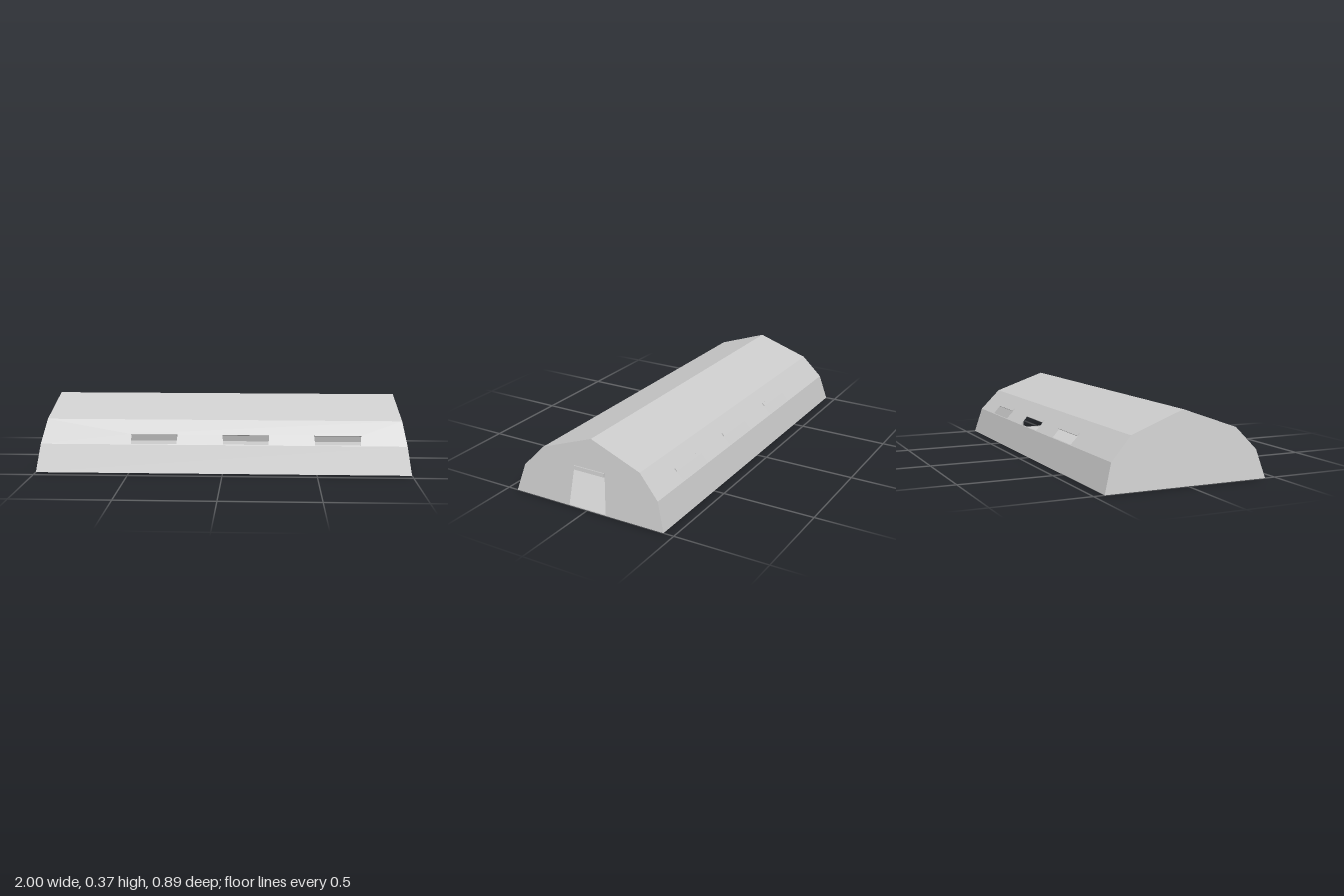
import * as THREE from 'three';

const material = new THREE.MeshStandardMaterial({ color: 0xcccccc, flatShading: true, side: THREE.DoubleSide });

// Half cross-section of the tent: [z, y] from the ground to the ridge
const PROFILE = [[0.443, 0], [0.40, 0.147], [0.29, 0.264], [0, 0.368]];
const halfLength = y => 1 - 0.148 * y; // the ends lean inward
const vectors = pts => pts.map(([x, y]) => new THREE.Vector2(x, y));

// Flat sheet drawn in (across, y), pushed outward by depth(y), then turned to face its side
function sheet(name, outline, holes, depth, turn) {
  const shape = new THREE.Shape(vectors(outline));
  for (const h of holes) shape.holes.push(new THREE.Path(vectors(h)));
  const geo = new THREE.ShapeGeometry(shape);
  const p = geo.attributes.position;
  for (let i = 0; i < p.count; i++) p.setZ(i, depth(p.getY(i)));
  geo.computeVertexNormals();
  const mesh = new THREE.Mesh(geo, material);
  mesh.name = name;
  mesh.rotation.y = turn;
  return mesh;
}

// Thin strip lying on a leaning sheet, closed on its outer faces
function flap(name, width, y0, y1, thickness, depth) {
  const slope = (depth(y1) - depth(y0)) / (y1 - y0);
  const geo = new THREE.BoxGeometry(width, Math.hypot(1, slope) * (y1 - y0), thickness);
  geo.translate(0, 0, thickness / 2);
  geo.rotateX(Math.atan(slope));
  const mesh = new THREE.Mesh(geo, material);
  mesh.name = name;
  mesh.position.set(0, (y0 + y1) / 2, depth((y0 + y1) / 2));
  return mesh;
}

export function createModel() {
  const model = new THREE.Group();
  model.name = 'tent';
  const windowCentres = [-0.37, 0.122, 0.612];
  const names = ['lowerWall', 'windowWall', 'roof'];

  // Long sides: lower wall, wall with windows, roof slope
  for (const [side, turn, sign] of [['front', 0, 1], ['back', Math.PI, -1]]) {
    for (let i = 0; i < 3; i++) {
      const [z0, y0] = PROFILE[i], [z1, y1] = PROFILE[i + 1];
      const a = halfLength(y0), b = halfLength(y1);
      const depth = y => z0 + (z1 - z0) * (y - y0) / (y1 - y0);
      const holes = i !== 1 ? [] : windowCentres.map(c => sign * c).map(c => [
        [c - 0.121, 0.15], [c + 0.121, 0.15], [c + 0.125, 0.195], [c - 0.125, 0.195]]);
      model.add(sheet(side + names[i], [[-a, y0], [a, y0], [b, y1], [-b, y1]], holes, depth, turn));

      // Rolled-up window flaps
      if (i === 1) {
        const flaps = new THREE.Group();
        flaps.name = side + 'WindowFlaps';
        flaps.rotation.y = turn;
        for (const c of windowCentres) {
          const f = flap('windowFlap', 0.25, 0.191, 0.204, 0.006, depth);
          f.position.x = sign * c;
          flaps.add(f);
        }
        model.add(flaps);
      }
    }
  }

  // Leaning end walls, the +x one with a doorway
  const endOutline = [...PROFILE, ...PROFILE.slice(0, 3).reverse().map(([z, y]) => [-z, y])];
  const door = [[-0.11, 0.004], [0.11, 0.004], [0.092, 0.196], [-0.092, 0.196]];
  model.add(sheet('leftEndWall', endOutline, [door], halfLength, Math.PI / 2));
  model.add(sheet('rightEndWall', endOutline, [], halfLength, -Math.PI / 2));

  // Rolled-up door flap
  const doorFlap = new THREE.Group();
  doorFlap.name = 'doorFlap';
  doorFlap.rotation.y = Math.PI / 2;
  doorFlap.add(flap('doorRoll', 0.184, 0.195, 0.214, 0.009, halfLength));
  model.add(doorFlap);

  // Ground sheet
  const floor = new THREE.Mesh(new THREE.PlaneGeometry(2, 0.886), material);
  floor.name = 'floor';
  floor.rotation.x = Math.PI / 2;
  model.add(floor);

  return model;
}
